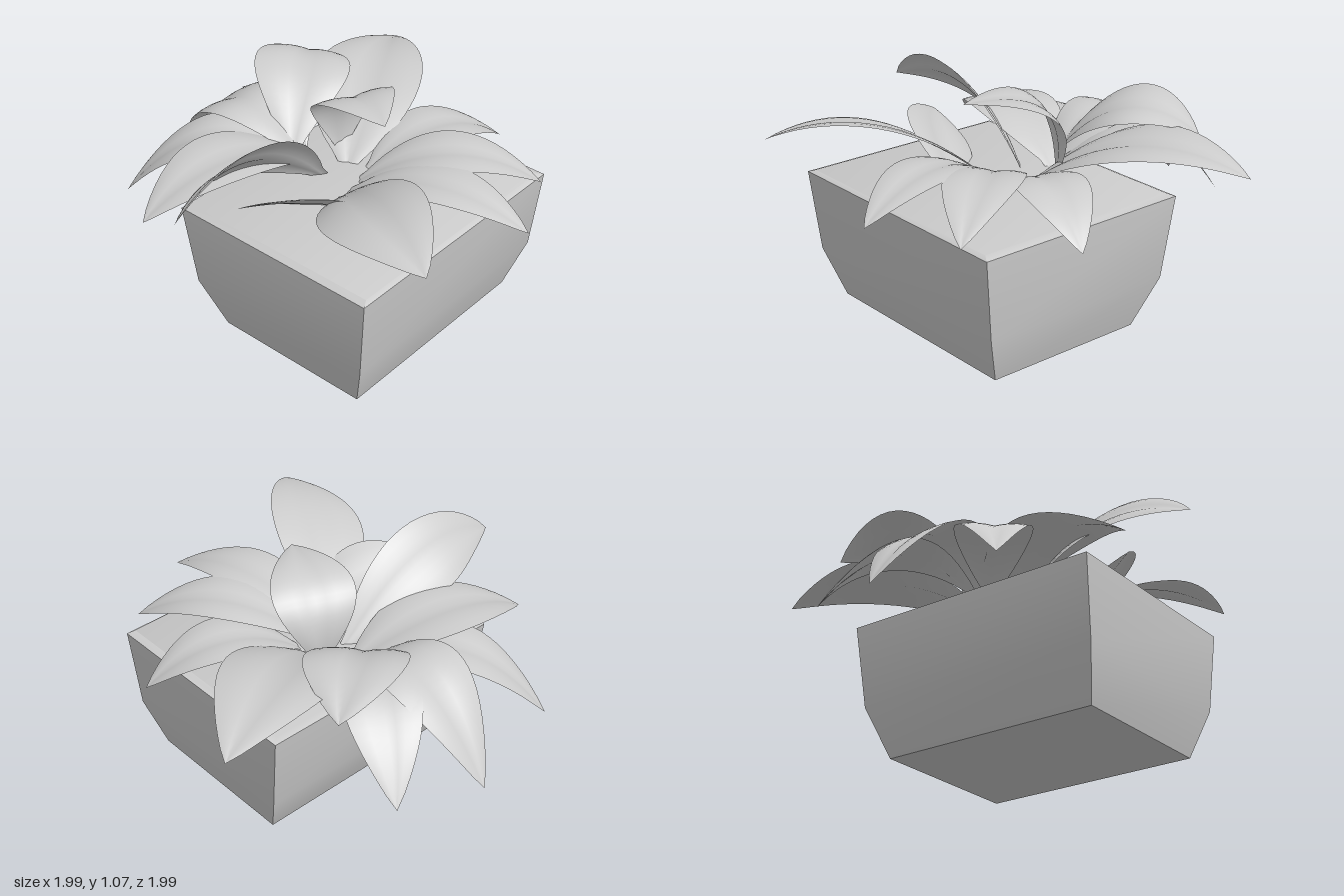
import * as THREE from 'three';
import { toCreasedNormals } from 'three/addons/utils/BufferGeometryUtils.js';

const material = new THREE.MeshStandardMaterial({ color: 0xcccccc });
const leafMaterial = new THREE.MeshStandardMaterial({ color: 0xcccccc, side: THREE.DoubleSide });
const UP = new THREE.Vector3(0, 1, 0);

// Leaves: base, tip, height of the arch's control point, width, roll about the midrib,
// lean (sideways shift of the control point in x and z), widest (where along the leaf)
const LEAVES = [
  { base: [-0.02, 0.64, -0.10], tip: [-0.48, 0.80, -1.0], arch: 1.04, width: 0.53, widest: 0.43, lean: [-0.03, 0.02] },
  { base: [0.08, 0.64, -0.12], tip: [0.33, 0.62, -0.82], arch: 0.95, width: 0.33 },
  { base: [0.10, 0.64, -0.03], tip: [0.76, 0.67, -0.55], arch: 0.98, width: 0.35 },
  { base: [0.12, 0.64, 0.06], tip: [0.97, 0.69, -0.16], arch: 0.97, width: 0.32 },
  { base: [0.13, 0.64, 0.10], tip: [0.99, 0.88, 0.58], arch: 1.03, width: 0.46, roll: 0.25, lean: [-0.03, 0.1] },
  { base: [0.28, 0.62, 0.10], tip: [0.0, 0.79, 0.65], arch: 0.82, width: 0.37, roll: 0.6, lean: [0.05, 0.03] },
  { base: [-0.05, 0.64, 0.04], tip: [-0.02, 0.88, 0.99], arch: 1.10, width: 0.36, roll: 0.8, lean: [-0.08, 0] },
  { base: [-0.17, 0.64, -0.05], tip: [-0.37, 0.66, 0.87], arch: 0.98, width: 0.41, lean: [-0.06, 0] },
  { base: [-0.22, 0.64, 0.03], tip: [-0.85, 0.46, 0.55], arch: 1.02, width: 0.35 },
  { base: [-0.20, 0.64, 0.00], tip: [-1.0, 0.42, 0.0], arch: 1.12, width: 0.42 },
  { base: [-0.22, 0.64, -0.02], tip: [-0.89, 0.47, -0.42], arch: 1.07, width: 0.35, widest: 0.55 },
  { base: [-0.24, 0.64, 0.05], tip: [-0.64, 0.84, -0.53], arch: 1.14, width: 0.46, roll: 0.1, widest: 0.55 },
  { base: [-0.10, 0.64, -0.15], tip: [0.30, 1.04, 0.02], arch: 1.13, width: 0.39, lean: [-0.27, -0.13], widest: 0.54 },
];

// One leaf: a sheet swept along an arched midrib, narrow at the base, pointed at the tip
function makeLeaf({ base, tip, arch, width, roll = 0, lean = [0, 0], widest = 0.48 }) {
  const a = new THREE.Vector3(...base);
  const b = new THREE.Vector3(...tip);
  const middle = a.clone().lerp(b, 0.5).setY(arch);
  middle.x += lean[0];
  middle.z += lean[1];
  const midrib = new THREE.QuadraticBezierCurve3(a, middle, b);
  const across = new THREE.Vector3().crossVectors(UP, b.clone().sub(a).setY(0)).normalize();
  const power = Math.log(0.5) / Math.log(widest);

  const geometry = new THREE.PlaneGeometry(1, 1, 8, 20);
  const pos = geometry.attributes.position;
  for (let i = 0; i < pos.count; i++) {
    const u = -2 * pos.getX(i);
    const t = THREE.MathUtils.clamp(pos.getY(i) + 0.5, 0, 1);
    const point = midrib.getPoint(t);
    const normal = new THREE.Vector3().crossVectors(midrib.getTangent(t), across);
    const side = across.clone().multiplyScalar(Math.cos(roll)).addScaledVector(normal, Math.sin(roll));
    const lift = normal.multiplyScalar(Math.cos(roll)).addScaledVector(across, -Math.sin(roll));
    const bulge = Math.pow(Math.max(0, Math.sin(Math.PI * Math.pow(t, power))), 0.85);
    const half = (width / 2) * Math.max(bulge, 0.15 * (1 - t));
    // Valley at the midrib, with the edges curling down again
    const fold = 0.26 * Math.abs(u) - 0.23 * u * u;
    point.addScaledVector(side, u * half).addScaledVector(lift, fold * half);
    pos.setXYZ(i, point.x, point.y, point.z);
  }
  geometry.computeVertexNormals();
  const leaf = new THREE.Mesh(geometry, leafMaterial);
  leaf.name = 'leaf';
  return leaf;
}

// Rectangular pot: each row of the box becomes one cross-section
function makePot() {
  const rows = [
    { y: 0, x0: -0.205, x1: 0.60, z: 0.555 },
    { y: 0.24, x0: -0.31, x1: 0.68, z: 0.63 },
    { y: 0.637, x0: -0.365, x1: 0.72, z: 0.655 },
    { y: 0.65, x0: -0.335, x1: 0.70, z: 0.62 },
  ];
  const box = new THREE.BoxGeometry(1, 1, 1, 1, 3, 1);
  const pos = box.attributes.position;
  for (let i = 0; i < pos.count; i++) {
    const row = rows[Math.round((pos.getY(i) + 0.5) * 3)];
    const front = Math.sign(pos.getZ(i));
    const x = pos.getX(i) < 0 ? row.x0 : row.x1;
    pos.setXYZ(i, x + 0.013 * front, row.y, row.z * front);
  }
  // Smooth over the gentle bend in the walls, sharp at corners and rim
  const pot = new THREE.Mesh(toCreasedNormals(box, 0.6), material);
  pot.name = 'pot';
  return pot;
}

export function createModel() {
  const model = new THREE.Group();
  model.name = 'pottedPlant';
  const foliage = new THREE.Group();
  foliage.name = 'foliage';
  LEAVES.forEach((leaf) => foliage.add(makeLeaf(leaf)));
  model.add(makePot(), foliage);
  return model;
}
